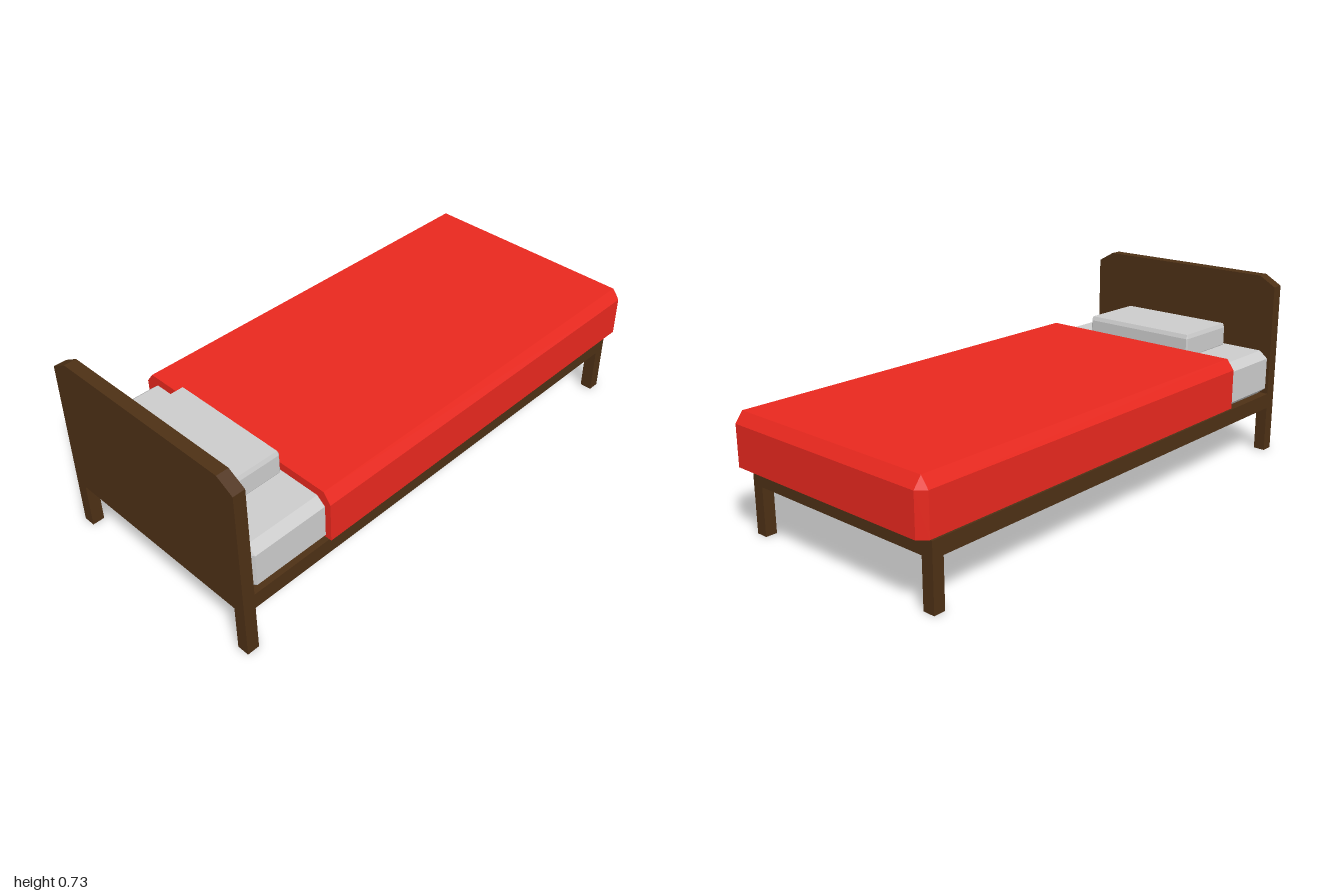
import * as THREE from 'three';
import { ConvexGeometry } from 'three/addons/geometries/ConvexGeometry.js';

const wood = new THREE.MeshStandardMaterial({ color: 0x4d3015 });
const red = new THREE.MeshStandardMaterial({ color: 0xe8281e });
const grey = new THREE.MeshStandardMaterial({ color: 0xcccccc });

function part(name, geometry, material) {
  const mesh = new THREE.Mesh(geometry, material);
  mesh.name = name;
  return mesh;
}

// Box given by its limits on each axis
function box([x0, x1], [y0, y1], [z0, z1]) {
  return new THREE.BoxGeometry(x1 - x0, y1 - y0, z1 - z0)
    .translate((x0 + x1) / 2, (y0 + y1) / 2, (z0 + z1) / 2);
}

// Box with every edge chamfered, by a different amount along each axis
function chamferedBox([x0, x1], [y0, y1], [z0, z1], [cx, cy, cz]) {
  const points = [];
  for (const [x, sx] of [[x0, 1], [x1, -1]])
    for (const [y, sy] of [[y0, 1], [y1, -1]])
      for (const [z, sz] of [[z0, 1], [z1, -1]]) {
        const xi = x + sx * cx, yi = y + sy * cy, zi = z + sz * cz;
        points.push(
          new THREE.Vector3(x, yi, zi),
          new THREE.Vector3(xi, y, zi),
          new THREE.Vector3(xi, yi, z));
      }
  return new ConvexGeometry(points);
}

// Blanket: cut straight at the head end, chamfered over the sides and foot
function blanketGeometry() {
  const points = [];
  for (const s of [1, -1]) {
    for (const y of [0.265, 0.42])
      for (const [x, z] of [[-0.64, 0.465], [0.97, 0.465], [1, 0.435]])
        points.push(new THREE.Vector3(x, y, s * z));
    for (const x of [-0.64, 0.97]) points.push(new THREE.Vector3(x, 0.46, s * 0.435));
  }
  return new ConvexGeometry(points);
}

// Headboard panel with clipped top corners, drawn in z-y and extruded along x
function headboardGeometry() {
  const shape = new THREE.Shape([
    [-0.443, 0.185], [0.443, 0.185], [0.443, 0.692],
    [0.375, 0.731], [-0.375, 0.731], [-0.443, 0.692],
  ].map(([z, y]) => new THREE.Vector2(z, y)));
  return new THREE.ExtrudeGeometry(shape, { depth: 0.047, bevelEnabled: false })
    .rotateY(Math.PI / 2)
    .translate(-1, 0, 0);
}

export function createModel() {
  const bed = new THREE.Group();
  bed.name = 'bed';

  // Wooden frame
  bed.add(part('headboard', headboardGeometry(), wood));
  bed.add(part('bedBase', box([-0.953, 0.942], [0.185, 0.246], [-0.443, 0.443]), wood));
  for (const [end, xs] of [['head', [-1, -0.953]], ['foot', [0.897, 0.942]]]) {
    bed.add(part(end + 'LegFront', box(xs, [0, 0.185], [0.396, 0.443]), wood));
    bed.add(part(end + 'LegBack', box(xs, [0, 0.185], [-0.443, -0.396]), wood));
  }

  // Bedding
  bed.add(part('mattress',
    chamferedBox([-0.953, 0.945], [0.246, 0.428], [-0.44, 0.44], [0.018, 0.028, 0.034]), grey));
  bed.add(part('pillow',
    chamferedBox([-0.92, -0.645], [0.415, 0.519], [-0.244, 0.244], [0.007, 0.016, 0.006]), grey));
  bed.add(part('blanket', blanketGeometry(), red));

  return bed;
}
